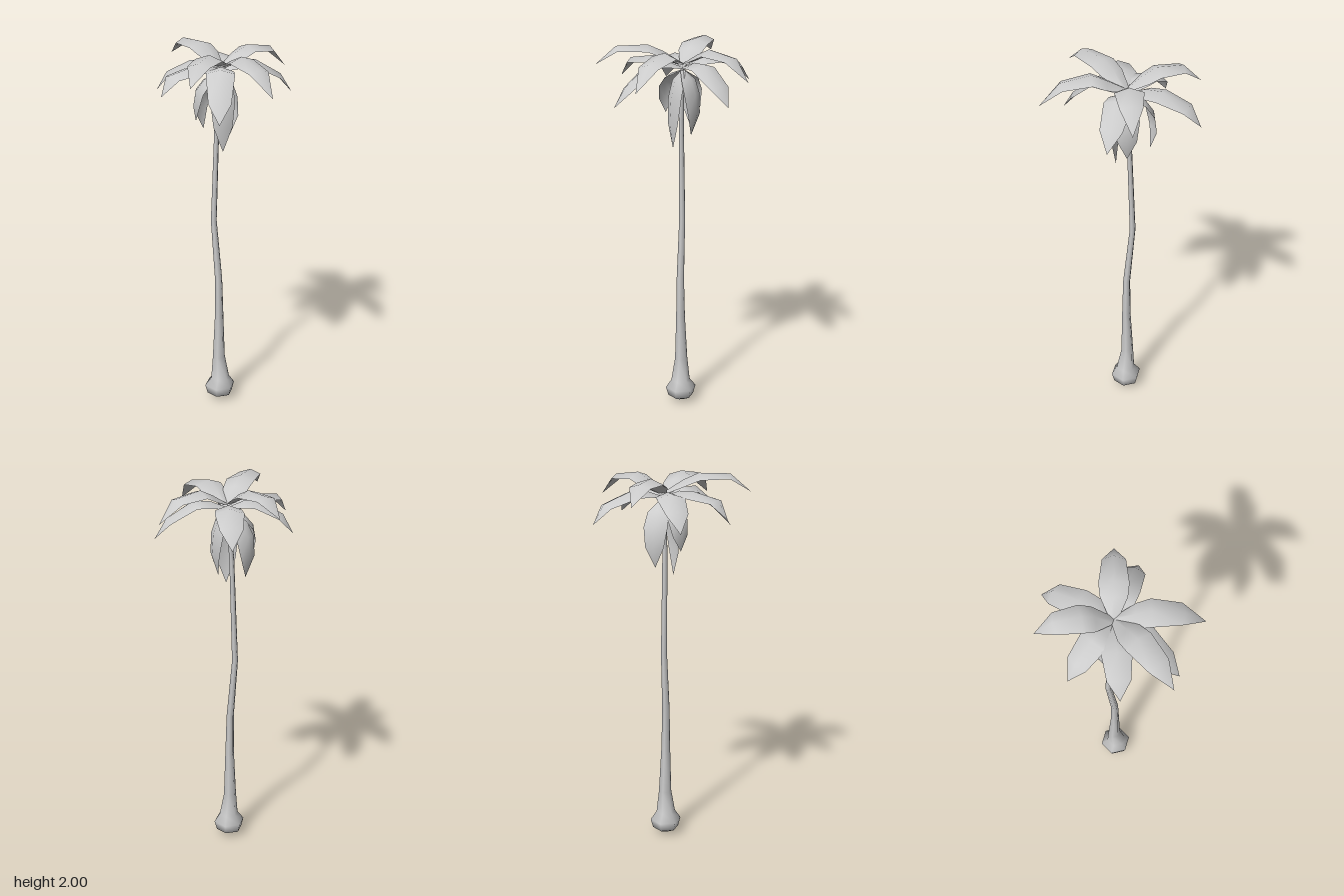
import * as THREE from 'three';
import { mergeVertices } from 'three/addons/utils/BufferGeometryUtils.js';

const V = (x, y, z) => new THREE.Vector3(x, y, z);

// Skin rows of points (each row the same length) into a smooth surface.
function skin(rows, material, name) {
  const n = rows[0].length, index = [];
  for (let i = 0; i < rows.length - 1; i++) {
    for (let j = 0; j < n - 1; j++) {
      const a = i * n + j, b = a + 1, c = a + n, d = c + 1;
      index.push(a, b, c, b, d, c);
    }
  }
  const geometry = new THREE.BufferGeometry().setFromPoints(rows.flat());
  geometry.setIndex(index);
  const merged = mergeVertices(geometry, 1e-5);
  merged.computeVertexNormals();
  const mesh = new THREE.Mesh(merged, material);
  mesh.name = name;
  return mesh;
}

const crown = V(-0.025, 0, -0.015);
const widths = [0.27, 0.9, 1, 0.78, 0]; // relative width from stalk to tip

// A leaf that follows a side profile of [reach, height] points towards a tip at (x, z).
function frond(name, x, z, profile, halfWidth, material) {
  const out = V(x - crown.x, 0, z - crown.z);
  const reach = out.length();
  out.normalize();
  const side = V(-out.z, 0, out.x);
  const path = profile.map(([r, y]) => crown.clone().addScaledVector(out, r * reach).setY(y));
  const rows = path.map((p, i) => {
    const tangent = path[Math.min(i + 1, path.length - 1)].clone().sub(path[Math.max(i - 1, 0)]).normalize();
    const down = tangent.cross(side).normalize();
    const half = widths[i] * halfWidth;
    // The edges hang slightly below the midrib
    return [1, 0, -1].map(s => p.clone().addScaledVector(side, s * half)
      .addScaledVector(down, Math.abs(s) * half * 0.35));
  });
  return skin(rows, material, name);
}

export function createModel() {
  const model = new THREE.Group();
  const bark = new THREE.MeshStandardMaterial({ color: 0xcccccc });
  const leaf = new THREE.MeshStandardMaterial({ color: 0xcccccc, side: THREE.DoubleSide });

  // Six-sided trunk from the swollen root ball to the crown: y, x, z, radius
  const rings = [
    [0, -0.027, -0.003, 0], [0.006, -0.027, -0.003, 0.02], [0.032, -0.027, -0.003, 0.07],
    [0.08, -0.027, -0.003, 0.083], [0.125, -0.024, -0.003, 0.051],
    [0.25, -0.034, -0.003, 0.034], [0.5, -0.029, -0.001, 0.024], [0.72, -0.031, 0.001, 0.02],
    [1.05, -0.064, 0.003, 0.016], [1.6, -0.042, 0, 0.013], [1.88, -0.025, -0.013, 0.011],
  ].map(([y, x, z, r]) => Array.from({ length: 7 }, (_, i) => {
    const a = -(i % 6) * Math.PI / 3;
    return V(x + r * Math.cos(a), y, z + r * Math.sin(a));
  }));
  model.add(skin(rings, bark, 'trunk'));

  const fronds = new THREE.Group();
  fronds.name = 'fronds';
  model.add(fronds);

  // Upper fronds arch almost level: tip x, tip z, tip height, height of the arch
  const upper = [
    [-0.405, -0.033, 1.9, 2.0], [0.403, 0.07, 1.83, 1.985],
    [0.067, -0.395, 1.85, 1.99], [0.16, 0.392, 1.9, 2.0],
  ];
  for (const [x, z, tip, top] of upper) {
    fronds.add(frond('upperFrond', x, z,
      [[0, 1.9], [0.22, top - 0.035], [0.4, top], [0.76, top - (2 - top) * 2 - 0.005], [1, tip]], 0.073, leaf));
  }

  // Lower fronds slope down and bend at the shoulder
  const lower = [
    [-0.322, -0.275, 1.775], [0.175, -0.33, 1.74], [-0.297, 0.182, 1.76],
    [0.228, 0.262, 1.7], [-0.085, 0.352, 1.8],
  ];
  for (const [x, z, tip] of lower) {
    fronds.add(frond('lowerFrond', x, z,
      [[0, 1.88], [0.25, 1.92], [0.47, 1.925], [0.84, tip + 0.1], [1, tip]], 0.073, leaf));
  }

  // Hanging fronds fall beside the trunk: tip x, tip z, tip height, bulge
  const hanging = [
    [0.022, 0.022, 1.46, 1.2], [-0.15, -0.01, 1.54, 1.15],
    [-0.09, 0.105, 1.62, 1.0], [-0.01, -0.065, 1.53, 1.55],
  ];
  for (const [x, z, tip, bulge] of hanging) {
    const drop = 1.87 - tip;
    fronds.add(frond('hangingFrond', x, z,
      [[0, 1.87], [bulge * 0.65, 1.87 - drop * 0.13], [bulge, 1.87 - drop * 0.36],
        [bulge * 1.1, 1.87 - drop * 0.68], [1, tip]], 0.063, leaf));
  }
  return model;
}
